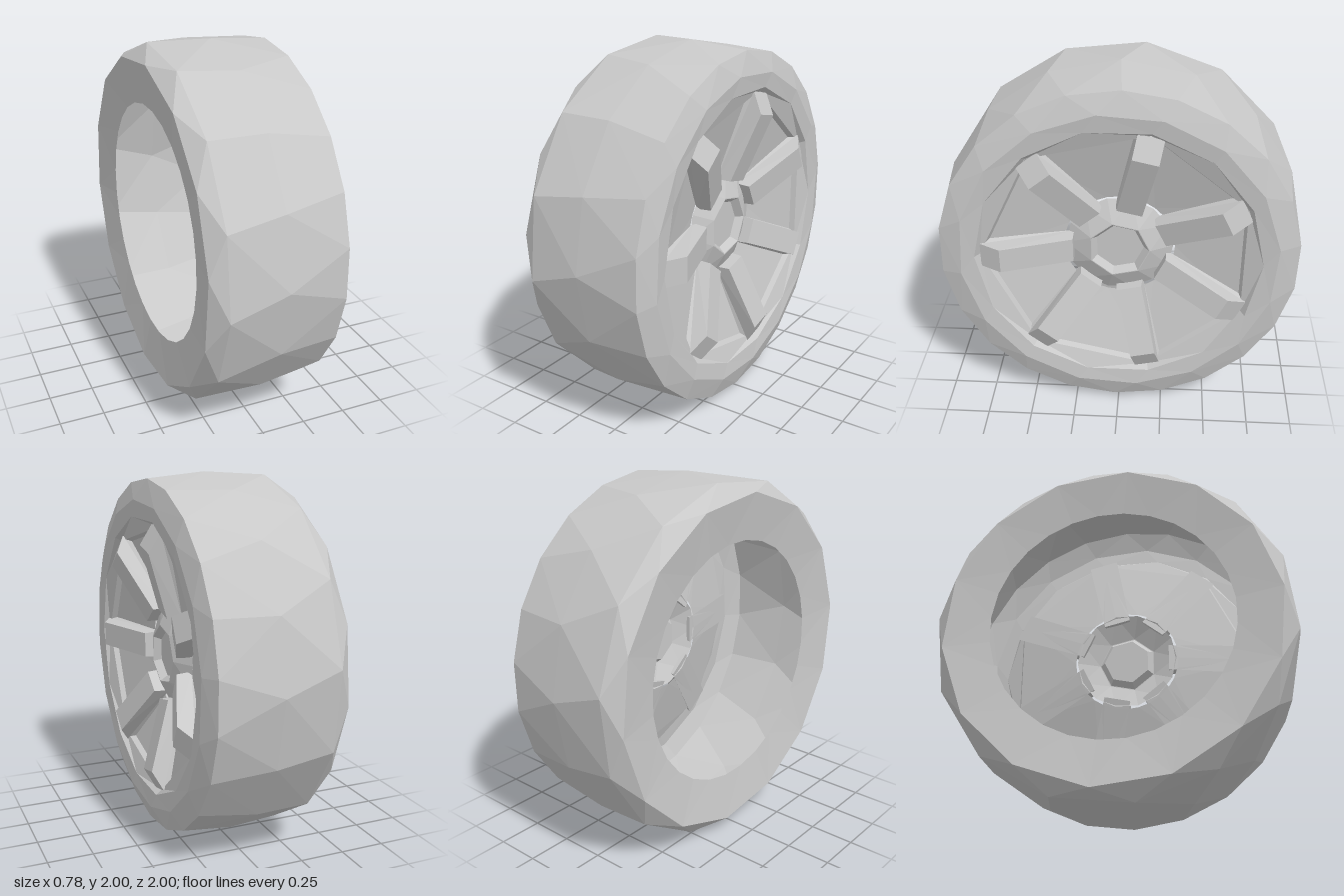
import * as THREE from 'three';

const TAU = Math.PI * 2;
const SPOKES = 7;
const grey = new THREE.MeshStandardMaterial({ color: 0xc8c8c8, flatShading: true, side: THREE.DoubleSide });
grey.name = 'plain grey';

// Ring round the x axis: axial position, radius, side count, first angle in degrees
const ring = (x, r, n, phase = 180) => Array.from({ length: n + 1 }, (_, i) => {
  const a = phase * Math.PI / 180 + i / n * TAU;
  return { a, p: [x, r * Math.sin(a), -r * Math.cos(a)] };
});

// Skin neighbouring rings, which may have different side counts
function loft(name, rings) {
  const pos = [];
  for (let k = 0; k + 1 < rings.length; k++) {
    const A = rings[k], B = rings[k + 1];
    let i = 0, j = 0;
    while (i < A.length - 1 || j < B.length - 1) {
      const stepA = j === B.length - 1 ||
        (i < A.length - 1 && A[i + 1].a + A[i].a <= B[j + 1].a + B[j].a);
      if (stepA) {
        pos.push(...A[i].p, ...A[i + 1].p, ...B[j].p);
        i++;
      } else {
        pos.push(...A[i].p, ...B[j + 1].p, ...B[j].p);
        j++;
      }
    }
  }
  const g = new THREE.BufferGeometry();
  g.setAttribute('position', new THREE.Float32BufferAttribute(pos, 3));
  g.computeVertexNormals();
  const m = new THREE.Mesh(g, grey);
  m.name = name;
  return m;
}

// Spoke side profile (radius, axial), extruded across its width
function spokeGeometry() {
  const s = new THREE.Shape([
    [0.25, 0.18], [0.74, 0.295], [0.745, 0.335], [0.63, 0.395], [0.25, 0.265],
  ].map(([r, x]) => new THREE.Vector2(r, x)));
  const g = new THREE.ExtrudeGeometry(s, { depth: 0.14, bevelEnabled: false });
  g.translate(0, 0, -0.07);
  // Base wider than the top, spreading towards the rim
  const p = g.attributes.position;
  for (let i = 0; i < p.count; i++) {
    const x = p.getY(i);
    if (x < 0.2) p.setZ(i, p.getZ(i) * 1.1);
    else if (x > 0.28 && x < 0.3) p.setZ(i, p.getZ(i) * 1.25);
  }
  g.computeVertexNormals();
  return g;
}

export function createModel() {
  const model = new THREE.Group();
  model.name = 'wheel';
  const wheel = new THREE.Group();
  wheel.name = 'wheelAssembly';
  wheel.position.y = 1;
  model.add(wheel);

  // Hollow faceted tyre, from the back opening round the tread to the dished front
  wheel.add(loft('tyre', [
    ring(-0.35, 0.67, 28, 186),
    ring(-0.39, 0.925, 14, 199),
    ring(-0.305, 0.99, 14, 186),
    ring(0, 1, 16, 180),
    ring(0.33, 0.97, 22, 187),
    ring(0.37, 0.86, 16, 187),
    ring(0.36, 0.775, 14, 180),
    ring(0.325, 0.75, SPOKES),
    ring(0.295, 0.735, SPOKES),
  ]));

  // Sunken panels between the spokes
  wheel.add(loft('rimPanels', [ring(0.295, 0.735, SPOKES), ring(0.19, 0.305, 28)]));

  // Hub with a raised collar and a recessed cap
  const half = 180 + 180 / SPOKES;
  wheel.add(loft('hub', [
    ring(0.185, 0.295, SPOKES * 2, half),
    ring(0.25, 0.17, SPOKES, half),
    ring(0.25, 0.165, SPOKES, half),
    ring(0.21, 0.135, SPOKES, half),
    ring(0.21, 0, SPOKES, half),
  ]));

  // Spokes
  const geo = spokeGeometry();
  for (let i = 0; i < SPOKES; i++) {
    const a = Math.PI + i * TAU / SPOKES;
    const radial = new THREE.Vector3(0, Math.sin(a), -Math.cos(a));
    const axial = new THREE.Vector3(1, 0, 0);
    const across = new THREE.Vector3().crossVectors(radial, axial);
    const spoke = new THREE.Mesh(geo, grey);
    spoke.name = 'spoke' + (i + 1);
    spoke.quaternion.setFromRotationMatrix(new THREE.Matrix4().makeBasis(radial, axial, across));
    wheel.add(spoke);
  }
  return model;
}
